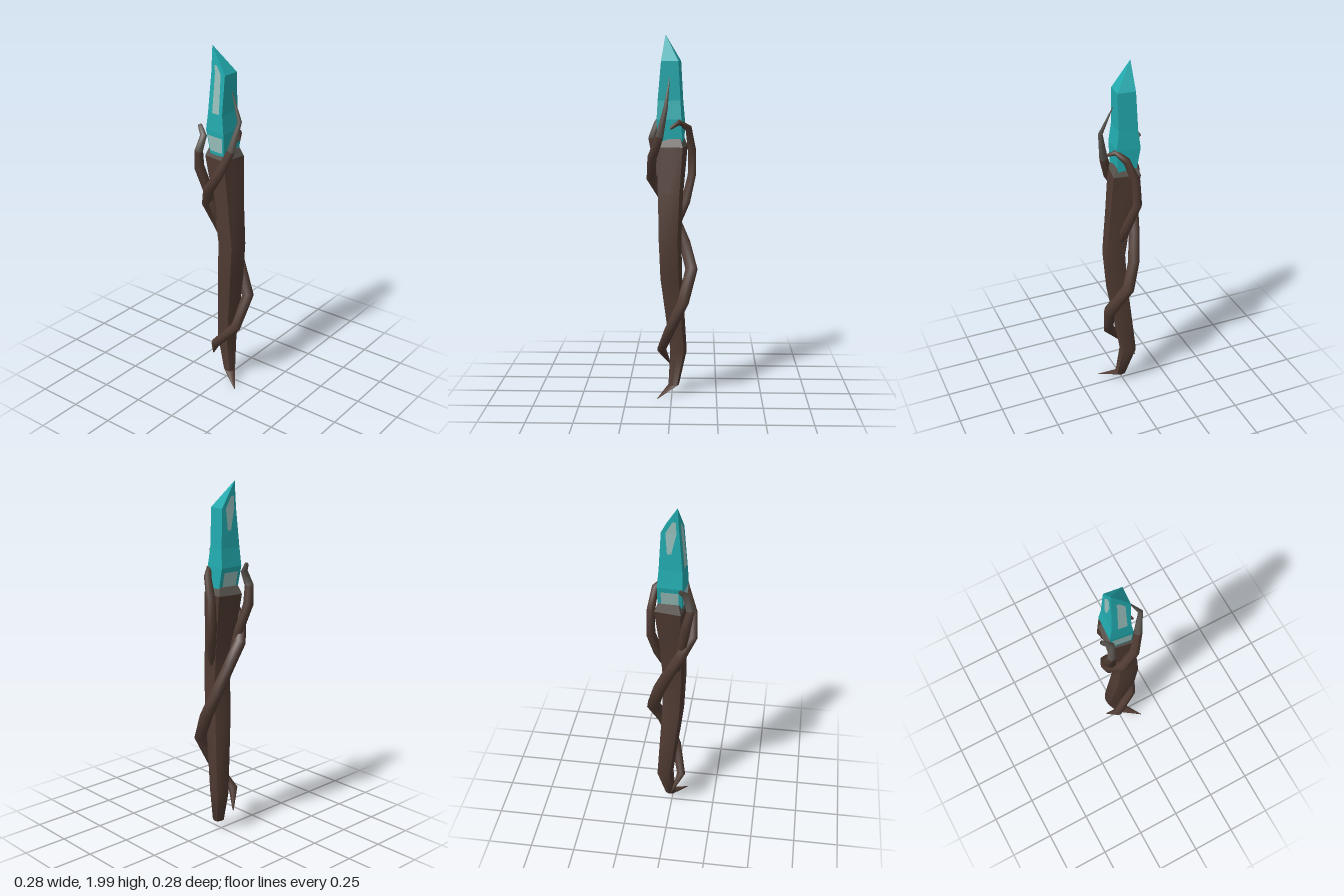
import * as THREE from 'three';
import { toCreasedNormals } from 'three/addons/utils/BufferGeometryUtils.js';

const V = (x, y, z) => new THREE.Vector3(x, y, z);

// Skin a list of closed rings (counter-clockwise seen from the end), with closed ends.
// Bands from index "split" upward use the second material.
function loft(rings, split = Infinity) {
  const n = rings[0].length, pos = [], idx = [];
  const g = new THREE.BufferGeometry();
  rings.forEach(r => r.forEach(p => pos.push(p.x, p.y, p.z)));
  for (let k = 1; k < n - 1; k++) idx.push(0, k + 1, k);
  let cut = 0;
  for (let j = 0; j < rings.length - 1; j++) {
    if (j === split) cut = idx.length;
    for (let i = 0; i < n; i++) {
      const a = j * n + i, b = j * n + (i + 1) % n;
      idx.push(a, b, b + n, a, b + n, a + n);
    }
  }
  const top = (rings.length - 1) * n;
  for (let k = 1; k < n - 1; k++) idx.push(top, top + k, top + k + 1);
  g.setAttribute('position', new THREE.Float32BufferAttribute(pos, 3));
  g.setIndex(idx);
  g.computeVertexNormals();
  if (cut) {
    g.addGroup(0, cut, 0);
    g.addGroup(cut, idx.length - cut, 1);
  }
  return g;
}

// Horizontal eight-point section, blended between round (0) and square (1)
function woodRing([y, cx, cz, r, square]) {
  return Array.from({ length: 8 }, (_, k) => {
    const a = k * Math.PI / 4;
    const box = 1 / Math.max(Math.abs(Math.cos(a)), Math.abs(Math.sin(a)));
    const d = r * (1.04 + (box - 1.04) * square), t = a - 0.17;
    return V(cx + d * Math.cos(t), y, cz - d * Math.sin(t));
  });
}

// Tapered six-sided branch along points [x, y, z, radius]
function branch(points, tipBands) {
  const p = points.map(q => V(q[0], q[1], q[2]));
  const rings = p.map((c, i) => {
    const t = V(0, 0, 0);
    if (i > 0) t.add(c.clone().sub(p[i - 1]).normalize());
    if (i < p.length - 1) t.add(p[i + 1].clone().sub(c).normalize());
    t.normalize();
    const u = t.clone().cross(V(0, 0, 1)).normalize(), v = t.clone().cross(u);
    return Array.from({ length: 6 }, (_, k) => {
      const a = k * Math.PI / 3, r = points[i][3];
      return c.clone().addScaledVector(u, r * Math.cos(a)).addScaledVector(v, r * Math.sin(a));
    });
  });
  return loft(rings, tipBands ? p.length - 1 - tipBands : Infinity);
}

export function createModel() {
  const group = new THREE.Group();
  const mat = (name, color) => {
    const m = new THREE.MeshStandardMaterial({ color });
    m.name = name;
    return m;
  };
  const wood = mat('dark wood', 0x503b33);
  const pale = mat('grey wood', 0x5c5650);
  const teal = mat('teal crystal', 0x22abaf);
  const glint = mat('pale crystal', 0x98bfbc);
  const add = (name, geometry, material) => {
    const m = new THREE.Mesh(geometry, material);
    m.name = name;
    group.add(m);
  };

  // Shaft with a bent, pointed foot and a squared head: [y, x, z, half width, squareness]
  const shaft = [
    [0.008, 0.12, 0.08, 0.002, 0], [0.06, 0.015, -0.01, 0.029, 0.2], [0.25, -0.022, -0.036, 0.046, 0.3],
    [0.68, 0.03, 0.003, 0.06, 0.4], [0.9, 0.045, 0.01, 0.062, 0.4], [1.15, 0.018, 0.006, 0.066, 0.6],
    [1.4, -0.014, 0, 0.073, 1],
  ].map(woodRing);
  add('shaft', toCreasedNormals(loft(shaft), 0.9), wood);
  const rim = [[1.4, -0.014, 0, 0.073, 1], [1.445, -0.014, 0, 0.058, 1]].map(woodRing);
  add('headRim', toCreasedNormals(loft(rim), 0.5), pale);

  // Long vine winding from the foot round the back and across the front
  add('longVine', branch([
    [-0.088, 0.145, 0.01, 0.003], [-0.035, 0.25, 0.06, 0.026], [0.078, 0.38, 0.015, 0.03],
    [0.103, 0.56, -0.065, 0.036], [0.005, 0.72, -0.108, 0.038], [-0.042, 0.86, -0.07, 0.036],
    [-0.07, 1.0, -0.01, 0.034], [-0.088, 1.13, 0.055, 0.034], [-0.035, 1.23, 0.115, 0.03],
    [0.035, 1.34, 0.108, 0.028], [0.078, 1.46, 0.065, 0.024], [0.108, 1.62, 0.03, 0.013],
    [0.045, 1.77, 0.012, 0.002],
  ], 2), [wood, pale]);

  // Short hooked vines gripping the head
  add('frontHookVine', branch([
    [-0.02, 1.0, 0.03, 0.02], [-0.06, 1.16, 0.06, 0.027], [-0.116, 1.34, 0.09, 0.029],
    [-0.1, 1.44, 0.112, 0.025], [-0.088, 1.52, 0.085, 0.019], [-0.13, 1.565, 0.062, 0.012],
  ], 2), [wood, pale]);
  add('backHookVine', branch([
    [0.03, 0.98, -0.03, 0.02], [0, 1.1, -0.075, 0.028], [-0.045, 1.24, -0.108, 0.026],
    [-0.035, 1.38, -0.108, 0.025], [0.01, 1.5, -0.09, 0.02], [0.05, 1.535, -0.04, 0.016],
    [0.08, 1.505, 0.005, 0.008],
  ]), wood);

  // Faceted crystal: [y, min x, max x, min z, max z]
  const crystal = [
    [1.42, -0.06, 0.045, -0.062, 0.068], [1.55, -0.086, 0.05, -0.06, 0.074], [1.65, -0.073, 0.036, -0.053, 0.07],
    [1.86, -0.064, 0.04, -0.042, 0.052], [2, -0.063, -0.062, 0.036, 0.037],
  ].map(([y, x0, x1, z0, z1]) => {
    const s = (x1 - x0) * 0.06;
    return [V(x1 - s, y, z1 + s), V(x1, y, z0 + s), V(x0 + s, y, z0 - s), V(x0, y, z1 - s)];
  });
  const gem = loft(crystal).toNonIndexed();
  gem.computeVertexNormals();
  add('crystal', gem, teal);

  // Pale glints laid on the crystal faces: band, side, corners as [u, v]
  const glints = [
    [0, 3, [[0.08, 0.15], [0.92, 0.15], [0.94, 0.8], [0.06, 0.8]]],
    [2, 3, [[0.32, 0], [0.8, 0], [0.72, 1], [0.3, 1]]],
    [3, 3, [[0.3, 0], [0.72, 0], [0.6, 0.3], [0.35, 0.3]]],
    [0, 2, [[0.15, 0.15], [0.85, 0.15], [0.85, 0.8], [0.15, 0.8]]],
    [2, 2, [[0.35, 0.45], [0.55, 0.45], [0.85, 1], [0.25, 1]]],
    [3, 2, [[0.25, 0], [0.85, 0], [0.75, 0.45], [0.4, 0.45]]],
  ];
  for (const [band, side, uv] of glints) {
    const lo = crystal[band], hi = crystal[band + 1], next = (side + 1) % 4;
    const p = uv.map(([u, v]) => lo[side].clone().lerp(lo[next], u)
      .lerp(hi[side].clone().lerp(hi[next], u), v));
    const out = p[1].clone().sub(p[0]).cross(p[3].clone().sub(p[0])).normalize();
    const g = new THREE.BufferGeometry().setFromPoints(p.map(q => q.addScaledVector(out, 0.003)));
    g.setIndex([0, 1, 2, 0, 2, 3]);
    g.computeVertexNormals();
    add('crystalGlint', g, glint);
  }
  return group;
}
